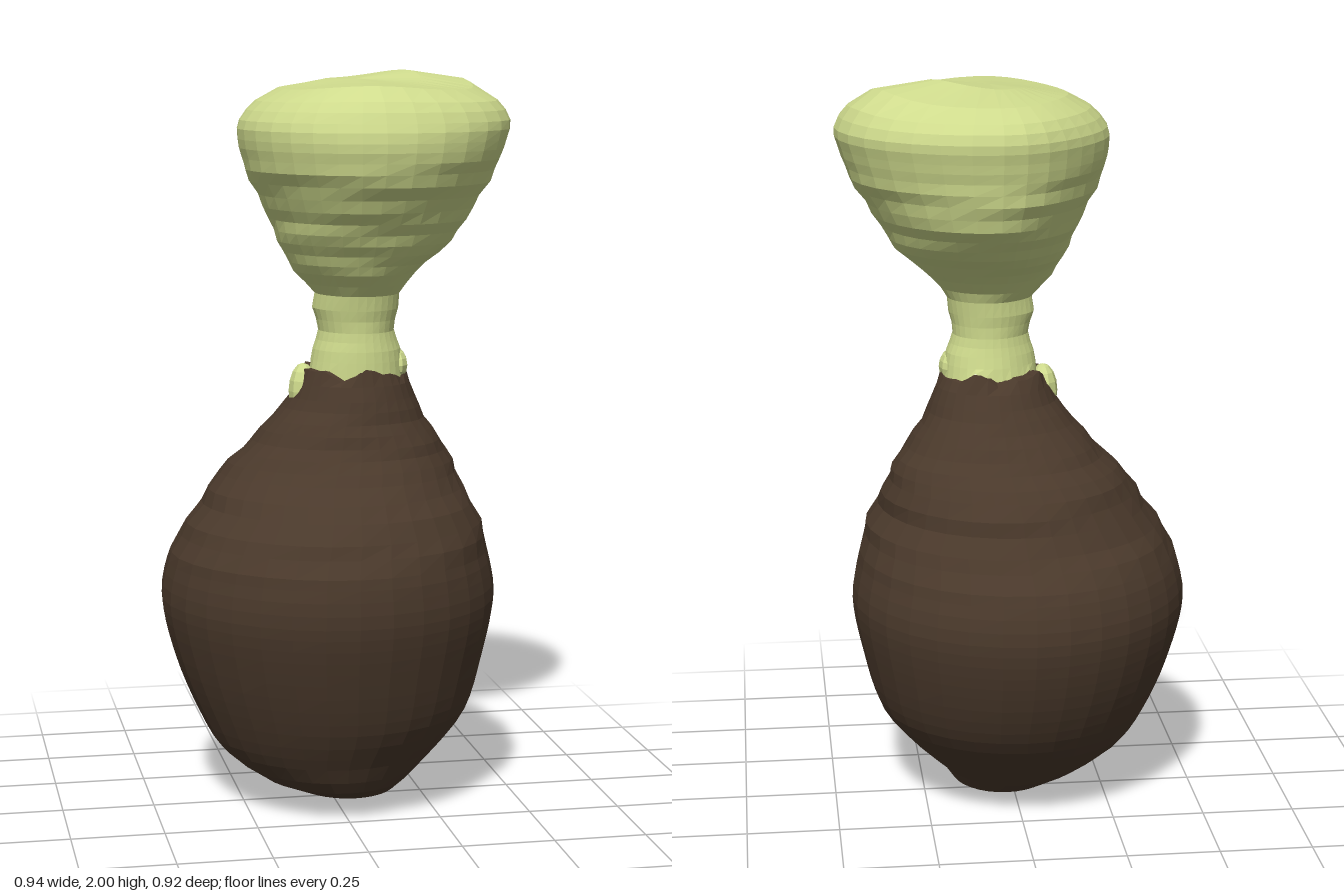
import * as THREE from 'three';

const SEGMENTS = 32;
const SEAM = 1.2;

// Cross-sections: y, xMin, xMax, zMin, zMax
const BODY = [
  [0.0, 0.1, 0.1, 0.0, 0.0],
  [0.02, -0.03, 0.14, -0.08, 0.1],
  [0.04, -0.11, 0.17, -0.14, 0.17],
  [0.08, -0.2, 0.2, -0.19, 0.25],
  [0.16, -0.31, 0.285, -0.265, 0.3],
  [0.27, -0.375, 0.37, -0.355, 0.365],
  [0.42, -0.435, 0.415, -0.425, 0.42],
  [0.58, -0.47, 0.443, -0.46, 0.46],
  [0.71, -0.445, 0.42, -0.43, 0.45],
  [0.79, -0.4, 0.4, -0.37, 0.41],
  [0.84, -0.36, 0.37, -0.345, 0.38],
  [0.92, -0.31, 0.34, -0.31, 0.29],
  [0.98, -0.25, 0.315, -0.25, 0.24],
  [1.07, -0.17, 0.25, -0.18, 0.2],
  [1.13, -0.12, 0.22, -0.14, 0.18],
  [SEAM, -0.09, 0.19, -0.1, 0.155],
  [1.21, -0.05, 0.16, -0.06, 0.13]
];
const HEAD = [
  [SEAM, -0.07, 0.187, -0.085, 0.158],
  [1.26, -0.06, 0.178, -0.072, 0.158],
  [1.31, -0.045, 0.16, -0.065, 0.155],
  [1.37, -0.06, 0.17, -0.07, 0.165],
  [1.41, -0.055, 0.175, -0.075, 0.175],
  [1.47, -0.11, 0.22, -0.115, 0.23],
  [1.55, -0.155, 0.315, -0.215, 0.285],
  [1.64, -0.19, 0.37, -0.3, 0.345],
  [1.74, -0.24, 0.43, -0.335, 0.41],
  [1.82, -0.26, 0.46, -0.352, 0.427],
  [1.87, -0.255, 0.47, -0.36, 0.415],
  [1.92, -0.21, 0.435, -0.335, 0.385],
  [1.95, -0.15, 0.37, -0.26, 0.32],
  [1.96, -0.04, 0.23, -0.11, 0.17],
  [1.96, 0.06, 0.06, 0.03, 0.03]
];

// Ragged line where the two colours meet
const seamOffset = a => 0.012 * Math.sin(5 * a + 1) + 0.008 * Math.sin(9 * a);

// Fold strength that fades in and out between two heights
const folds = (from, to, amount) => y =>
  amount * THREE.MathUtils.smoothstep(y, from, from + 0.18) * (1 - THREE.MathUtils.smoothstep(y, to - 0.12, to));

// Smoothly subdivide long spans so the rings are evenly stepped
function refine(rows, step) {
  const curve = new THREE.CubicInterpolant(rows.map((row, i) => i), rows.flat(), 5);
  const out = [rows[0]];
  for (let i = 1; i < rows.length; i++) {
    const n = Math.max(1, Math.round((rows[i][0] - rows[i - 1][0]) / step));
    for (let k = 1; k < n; k++) out.push([...curve.evaluate(i - 1 + k / n)]);
    out.push(rows[i]);
  }
  return out;
}

// Skin of rings, each made of four quarter ellipses about an axis
// (the ring's own middle when no axis is given), flattened on one side
function loft(rows, { step, ripple, flatAngle, flatDepth, axis }) {
  const pos = [], index = [];
  const rings = refine(rows, step);
  rings.forEach(([y, x0, x1, z0, z1]) => {
    const [cx, cz] = axis || [(x0 + x1) / 2, (z0 + z1) / 2];
    for (let j = 0; j <= SEGMENTS; j++) {
      const a = (j % SEGMENTS) / SEGMENTS * Math.PI * 2;
      const c = Math.cos(a), s = Math.sin(a);
      const fold = 1 + ripple(y) * (Math.sin(y * 74 + 1.5 * Math.sin(a * 2)) + 0.5 * Math.sin(4 * a + y * 23))
        - flatDepth * Math.max(0, Math.cos(a - flatAngle)) ** 8;
      const x = cx + (c > 0 ? x1 - cx : cx - x0) * c * fold;
      const z = cz + (s > 0 ? z1 - cz : cz - z0) * s * fold;
      let h = y;
      if (y === SEAM) h += seamOffset(a);
      // Ridge and shallow dip across the crown
      const w = THREE.MathUtils.clamp((y - 1.88) / 0.07, 0, 1);
      h += w * 0.04 * Math.exp(-((x - 0.22) ** 2) / 0.06 - ((z + 0.05) ** 2) / 0.015);
      h += w * 0.014 * Math.exp(-((x - 0.05) ** 2 + (z - 0.28) ** 2) / 0.02);
      pos.push(x, h, z);
    }
  });
  const w = SEGMENTS + 1;
  for (let i = 0; i < rings.length - 1; i++) {
    for (let j = 0; j < SEGMENTS; j++) {
      const p = i * w + j;
      index.push(p, p + w, p + 1, p + 1, p + w, p + w + 1);
    }
  }
  const geo = new THREE.BufferGeometry();
  geo.setAttribute('position', new THREE.Float32BufferAttribute(pos, 3));
  geo.setIndex(index);
  geo.computeVertexNormals();
  return geo;
}

export function createModel() {
  const model = new THREE.Group();
  model.name = 'gourdShape';

  const brown = new THREE.MeshStandardMaterial({ color: 0x4a392b, flatShading: true });
  brown.name = 'darkBrown';
  const green = new THREE.MeshStandardMaterial({ color: 0xcfdb8d, flatShading: true });
  green.name = 'paleGreen';

  const add = (name, geometry, material) => {
    const mesh = new THREE.Mesh(geometry, material);
    mesh.name = name;
    model.add(mesh);
    return mesh;
  };

  // Smooth round belly with folds towards the neck
  add('body', loft(BODY, {
    step: 0.035, ripple: folds(0.64, 1.19, 0.014), flatAngle: Math.PI * 0.75, flatDepth: 0.025
  }), brown);

  // Narrow neck flaring into a broad, soft crown
  add('neckAndCrown', loft(HEAD, {
    step: 0.032, ripple: folds(1.24, 1.82, 0.013), flatAngle: -Math.PI * 0.75, flatDepth: 0.06, axis: [0.06, 0.03]
  }), green);

  // Small drips hanging over the seam on both sides
  const dripGeometry = new THREE.SphereGeometry(1, 10, 8);
  [
    ['rightDrip', [-0.085, 1.145, 0.025], [0.04, 0.075, 0.05]],
    ['leftDrip', [0.162, 1.215, 0.045], [0.035, 0.045, 0.06]]
  ].forEach(([name, position, scale]) => {
    const drip = add(name, dripGeometry, green);
    drip.position.set(...position);
    drip.scale.set(...scale);
  });

  return model;
}
